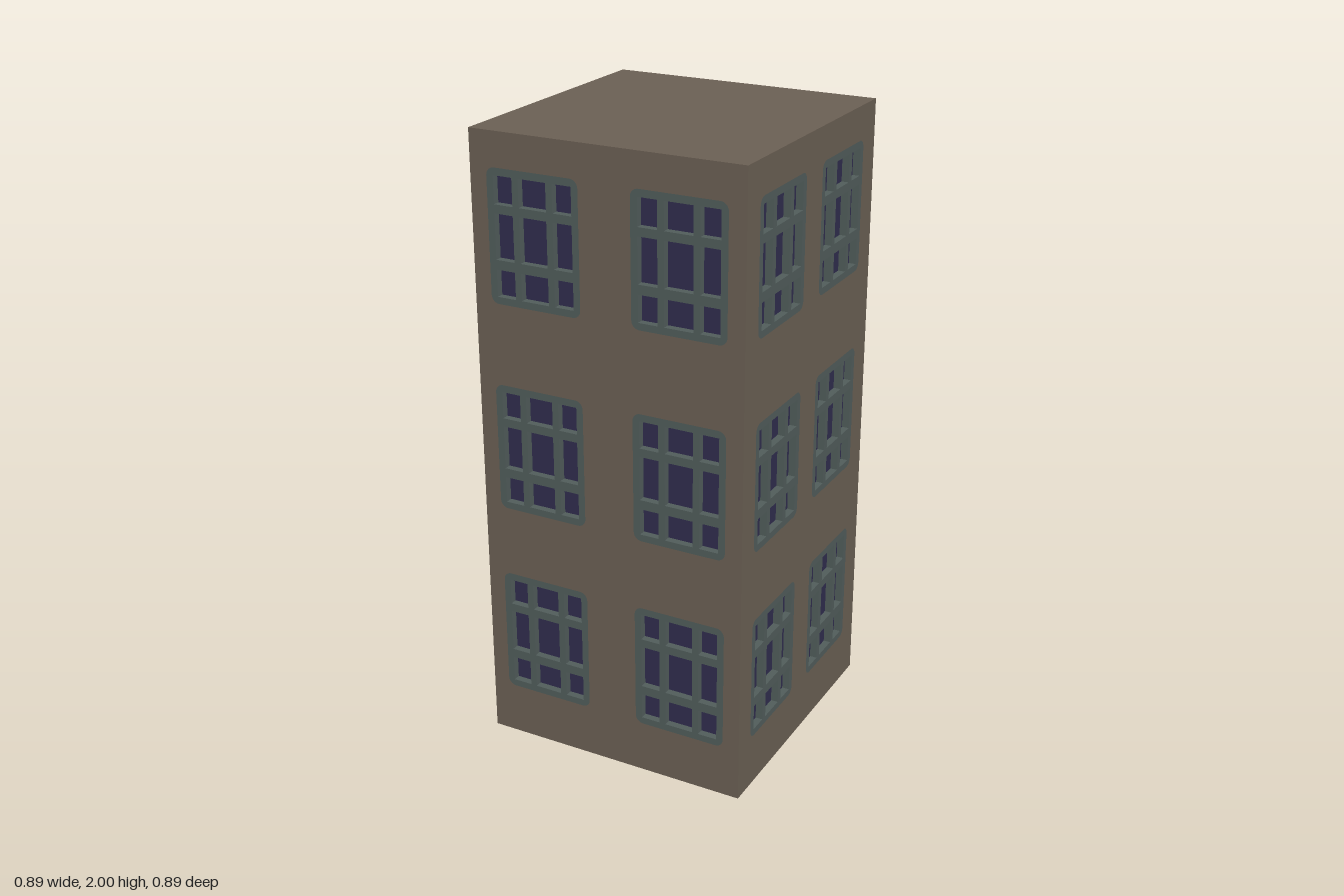
import * as THREE from 'three';

const HALF = 0.443, HEIGHT = 2, WALL = 0.032, PANE_DEPTH = 0.024;
const ROWS = [0.376, 1.017, 1.687];      // window centre heights
const WIN_W = 0.304, WIN_H = 0.412;

// Closed rectangle path with optional rounded corners
function rect(Type, x0, y0, x1, y1, r = 0) {
  const p = new Type();
  if (!r) {
    p.moveTo(x0, y0).lineTo(x1, y0).lineTo(x1, y1).lineTo(x0, y1).closePath();
    return p;
  }
  p.moveTo(x0 + r, y0);
  p.absarc(x1 - r, y0 + r, r, -Math.PI / 2, 0);
  p.absarc(x1 - r, y1 - r, r, 0, Math.PI / 2);
  p.absarc(x0 + r, y1 - r, r, Math.PI / 2, Math.PI);
  p.absarc(x0 + r, y0 + r, r, Math.PI, Math.PI * 1.5);
  return p;
}

const windowOutline = (Type, x, y) =>
  rect(Type, x - WIN_W / 2, y - WIN_H / 2, x + WIN_W / 2, y + WIN_H / 2, 0.026);

export function createModel() {
  const mats = {
    wall: new THREE.MeshStandardMaterial({ name: 'brownWall', color: 0x6b6054 }),
    frame: new THREE.MeshStandardMaterial({ name: 'greyGreenFrame', color: 0x515d5b }),
    glass: new THREE.MeshStandardMaterial({ name: 'darkBlueGlass', color: 0x302d4e }),
  };
  const model = new THREE.Group();
  model.name = 'towerBuilding';

  const add = (parent, name, geometry, material, x = 0, y = 0, z = 0) => {
    const mesh = new THREE.Mesh(geometry, material);
    mesh.name = name;
    mesh.position.set(x, y, z);
    parent.add(mesh);
    return mesh;
  };
  const extrude = (shape, depth) =>
    new THREE.ExtrudeGeometry(shape, { depth, bevelEnabled: false, curveSegments: 5 });

  // Window frame with pane openings; the wide-top kind has one transom pane over three tall ones
  const cols = [[-0.13, -0.067], [-0.046, 0.046], [0.067, 0.13]];
  const bands = [[-0.184, -0.1], [-0.07, 0.07], [0.097, 0.183]];
  const frameGeometry = (wideTop) => {
    const shape = windowOutline(THREE.Shape, 0, 0);
    const hole = ([x0, x1], [y0, y1]) => shape.holes.push(rect(THREE.Path, x0, y0, x1, y1));
    if (wideTop) {
      hole([-0.13, 0.13], bands[2]);
      cols.forEach((c) => hole(c, [-0.184, 0.07]));
    } else {
      cols.forEach((c) => bands.forEach((b) => hole(c, b)));
    }
    return extrude(shape, PANE_DEPTH);
  };
  const gridFrame = frameGeometry(false);
  const transomFrame = frameGeometry(true);
  const glassPane = new THREE.PlaneGeometry(0.28, 0.385);

  const DOOR = { x0: -0.36, x1: -0.027, top: 0.526 };

  // One facade, built facing +z and turned into place
  function facade(name, angle, centres, hasDoor) {
    const group = new THREE.Group();
    group.name = name;
    group.rotation.y = angle;
    const shape = new THREE.Shape();
    shape.moveTo(-HALF, 0);
    if (hasDoor) {
      shape.lineTo(DOOR.x0, 0).lineTo(DOOR.x0, DOOR.top);
      shape.lineTo(DOOR.x1, DOOR.top).lineTo(DOOR.x1, 0);
    }
    shape.lineTo(HALF, 0).lineTo(HALF, HEIGHT).lineTo(-HALF, HEIGHT).closePath();

    ROWS.forEach((y, row) => centres.forEach((x) => {
      const ground = hasDoor && row === 0;
      if (ground && x < 0) return;
      shape.holes.push(windowOutline(THREE.Path, x, y));
      const z = HALF - PANE_DEPTH;
      add(group, 'windowFrame', ground ? transomFrame : gridFrame, mats.frame, x, y, z);
      add(group, 'windowGlass', glassPane, mats.glass, x, y, z + 0.001);
    }));
    add(group, 'wall', extrude(shape, WALL), mats.wall, 0, 0, HALF - WALL);

    if (hasDoor) {
      const w = DOOR.x1 - DOOR.x0;
      add(group, 'door', new THREE.BoxGeometry(w, DOOR.top, 0.02), mats.frame,
        (DOOR.x0 + DOOR.x1) / 2, DOOR.top / 2, HALF - WALL - 0.008);
      // Upright pull handle with bevelled edges
      const handle = new THREE.ExtrudeGeometry(rect(THREE.Shape, -0.01, -0.076, 0.01, 0.076),
        { depth: 0.02, bevelThickness: 0.005, bevelSize: 0.005, bevelSegments: 1 });
      add(group, 'doorHandle', handle, mats.frame, -0.097, 0.22, HALF - WALL + 0.002);
    }
    model.add(group);
  }

  facade('frontFacade', 0, [-0.236, 0.236], false);
  facade('leftFacade', Math.PI / 2, [-0.21, 0.206], false);
  facade('backFacade', Math.PI, [-0.236, 0.236], true);
  facade('rightFacade', -Math.PI / 2, [-0.206, 0.212], false);

  // Flat roof and base fill the space inside the walls
  const inner = 2 * (HALF - WALL);
  const slab = new THREE.BoxGeometry(inner, 0.02, inner);
  add(model, 'roof', slab, mats.wall, 0, HEIGHT - 0.01, 0);
  add(model, 'base', slab, mats.wall, 0, 0.01, 0);
  return model;
}
